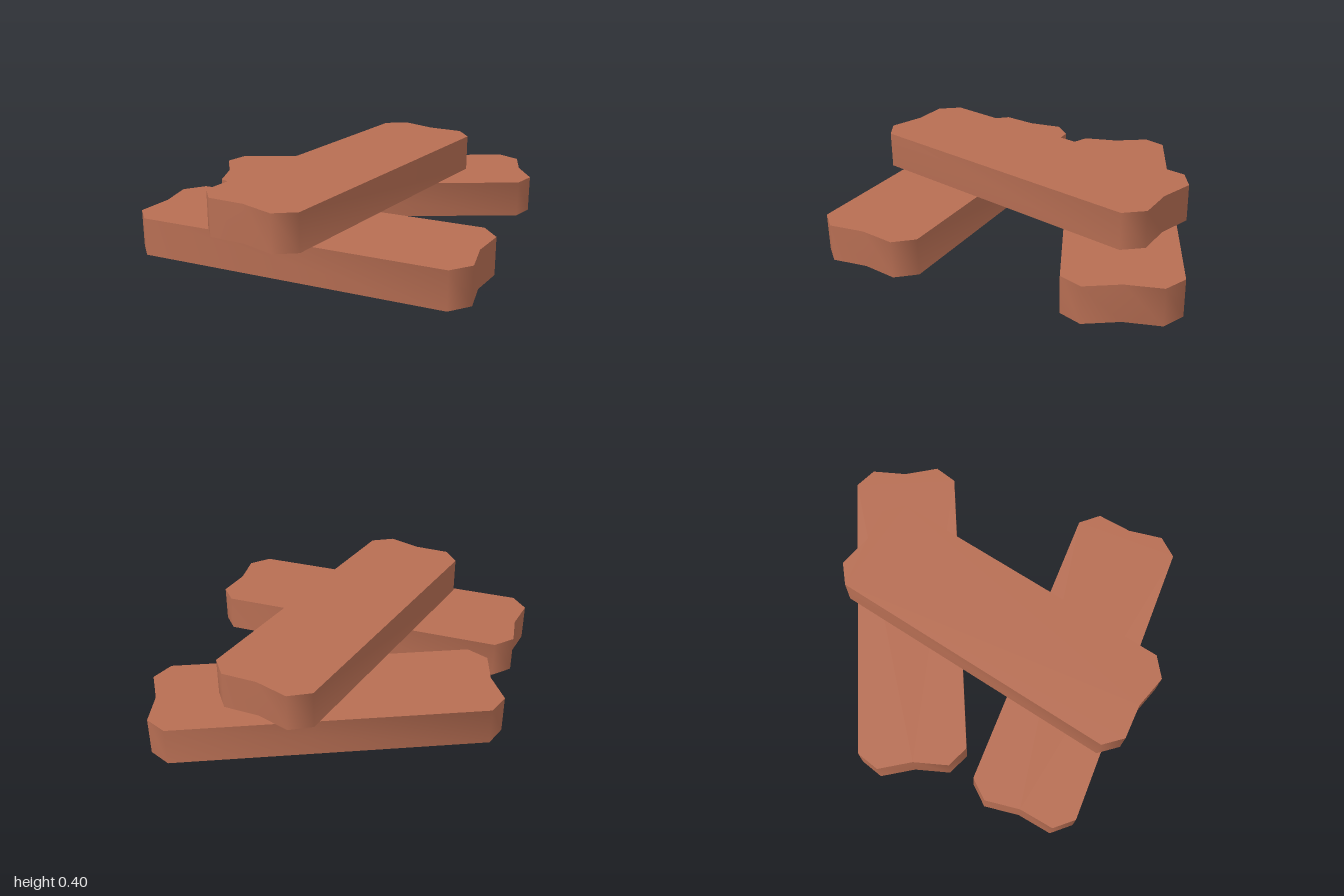
import * as THREE from 'three';
import { toCreasedNormals } from 'three/addons/utils/BufferGeometryUtils.js';

const THICKNESS = 0.2;

// One plank lying flat along x: clipped corners and a shallow notch in each end
function plankGeometry() {
  const end = [[0.81, -0.288], [0.897, -0.19], [0.87, 0], [0.897, 0.19], [0.81, 0.288]];
  const outline = [...end, ...end.map(([x, y]) => [-x, -y])];
  const shape = new THREE.Shape(outline.map(([x, y]) => new THREE.Vector2(x, y)));
  const geometry = new THREE.ExtrudeGeometry(shape, { depth: THICKNESS, bevelEnabled: false });
  geometry.rotateX(-Math.PI / 2);
  // Rounded shading around the sides, sharp rims at top and bottom
  return toCreasedNormals(geometry, THREE.MathUtils.degToRad(60));
}

export function createModel() {
  const group = new THREE.Group();
  group.name = 'plankPile';

  const wood = new THREE.MeshStandardMaterial({ color: 0xb76e53 });
  wood.name = 'reddishWood';
  const geometry = plankGeometry();

  // name, centre x, base y, centre z, turn in degrees
  const planks = [
    ['frontPlank', 0, 0, 0.553, -3.9],
    ['backPlank', 0, 0, -0.437, 21.3],
    ['topPlank', 0.029, THICKNESS, 0.081, 75.1],
  ];
  for (const [name, x, y, z, turn] of planks) {
    const plank = new THREE.Mesh(geometry, wood);
    plank.name = name;
    plank.position.set(x, y, z);
    plank.rotation.y = THREE.MathUtils.degToRad(turn);
    group.add(plank);
  }
  return group;
}
